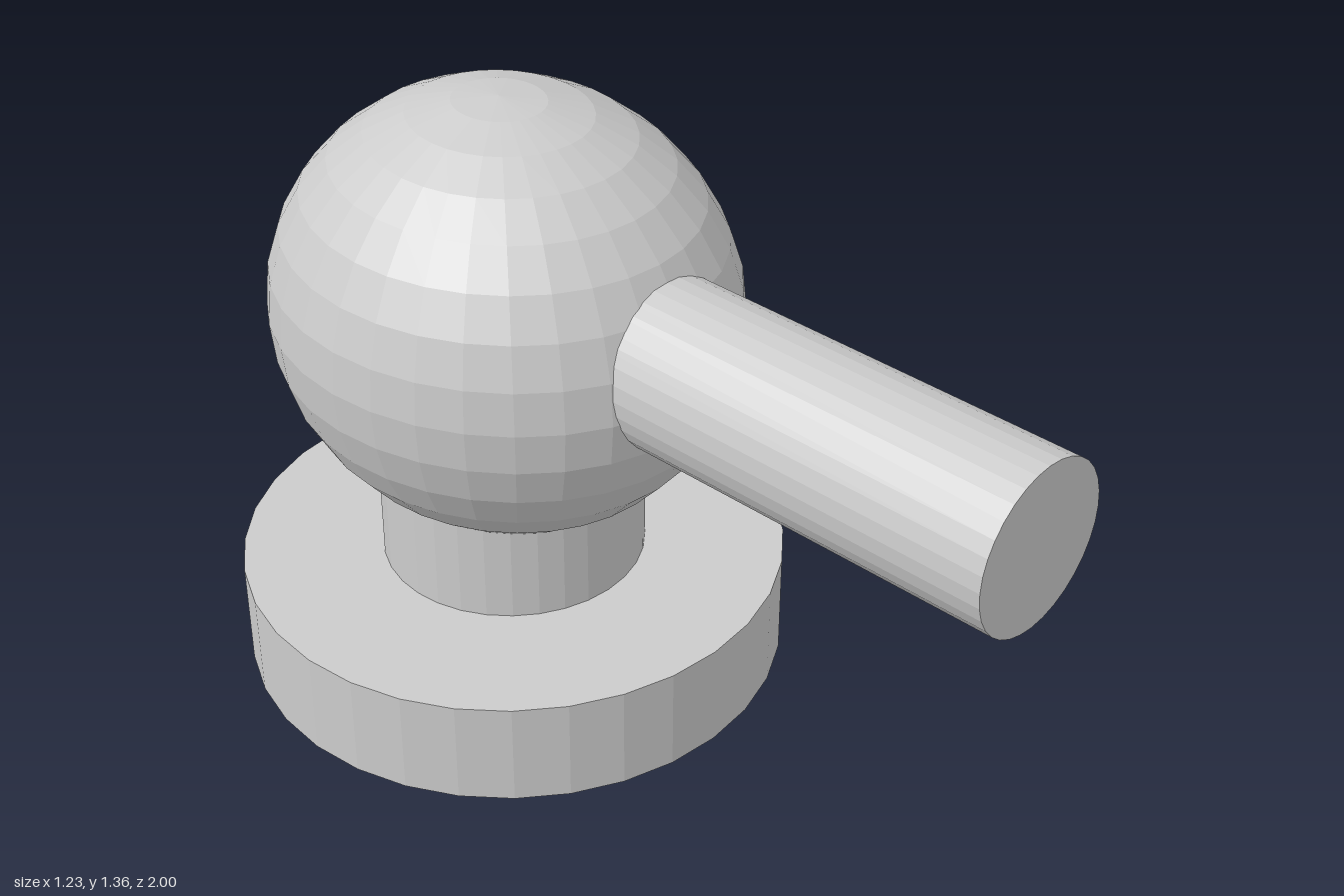
import * as THREE from 'three';

const CENTRE_Z = -0.385;
const SIDES = 32;

export function createModel() {
  const group = new THREE.Group();
  const material = new THREE.MeshStandardMaterial({ color: 0xcccccc, flatShading: true });

  const add = (name, geometry, y, z = CENTRE_Z) => {
    const mesh = new THREE.Mesh(geometry, material);
    mesh.name = name;
    mesh.position.set(0, y, z);
    group.add(mesh);
    return mesh;
  };

  // Round foot and the neck standing in it
  add('base', new THREE.CylinderGeometry(0.615, 0.615, 0.245, SIDES), 0.1225);
  const neckHeight = 0.6;
  add('neck', new THREE.CylinderGeometry(0.298, 0.298, neckHeight, SIDES), neckHeight / 2);

  // Ball, slightly longer from front to back
  const ball = add('ball', new THREE.SphereGeometry(1, SIDES, 16), 0.865);
  ball.scale.set(0.49, 0.49, 0.537);

  // Rod pointing forward out of the ball
  const rodLength = 1 - CENTRE_Z;
  const rodGeometry = new THREE.CylinderGeometry(0.183, 0.183, rodLength, SIDES).rotateX(Math.PI / 2);
  add('rod', rodGeometry, 0.921, CENTRE_Z + rodLength / 2);

  return group;
}
